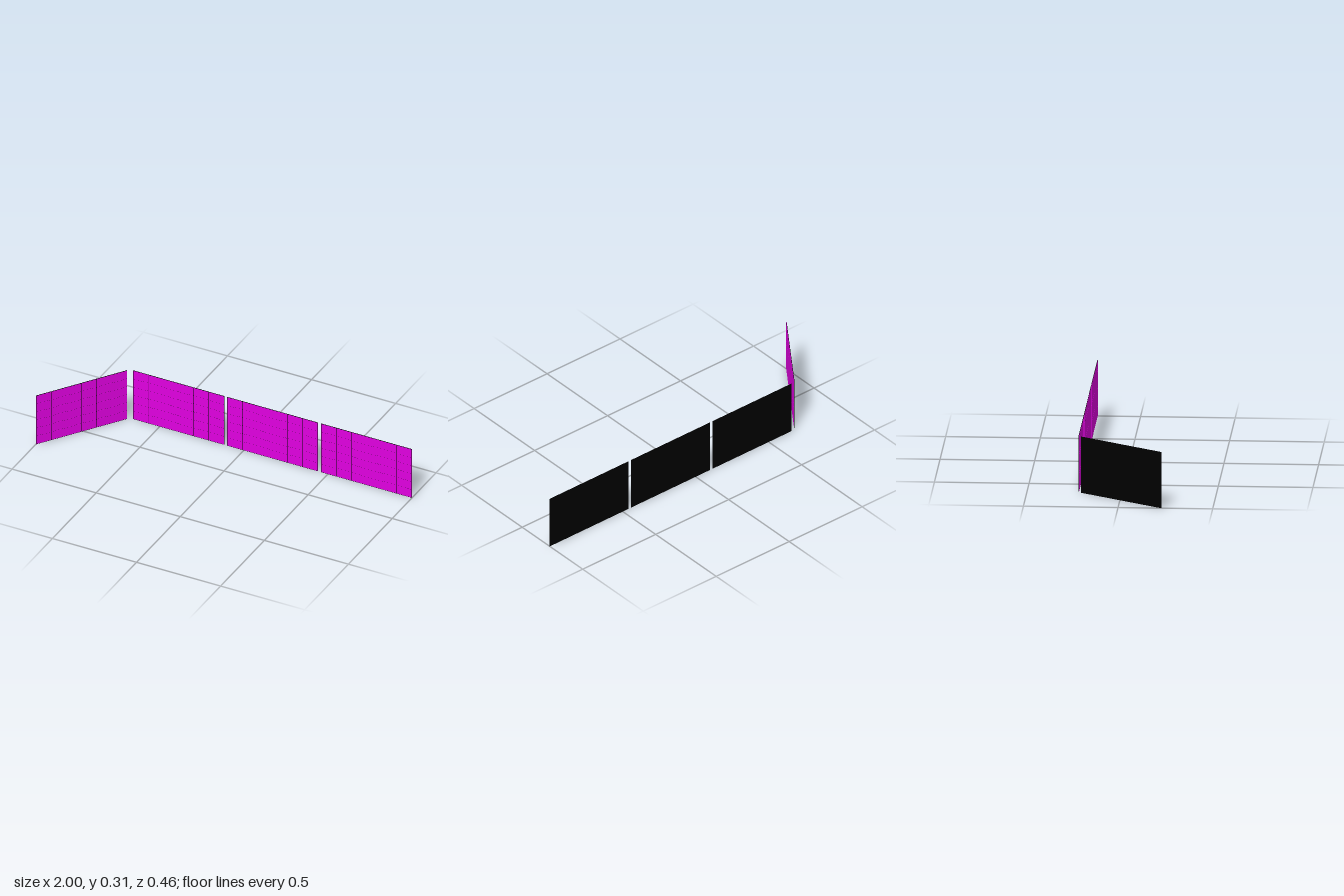
import * as THREE from 'three';
import { mergeGeometries } from 'three/addons/utils/BufferGeometryUtils.js';

const W = 0.541, H = 0.305, T = 0.002;   // panel size
const COLS = 6, ROWS = 6;
const RIM = 0.002, GAP_X = 0.0018, GAP_Y = 0.0008, RAISE = 0.0004;

// Grid of thin tiles sitting on the front of a panel
function tileGeometry() {
  const w = (W - 2 * RIM - (COLS - 1) * GAP_X) / COLS;
  const h = (H - 2 * RIM - (ROWS - 1) * GAP_Y) / ROWS;
  const tiles = [];
  for (let c = 0; c < COLS; c++) {
    for (let r = 0; r < ROWS; r++) {
      tiles.push(new THREE.BoxGeometry(w, h, RAISE).translate(
        (c - (COLS - 1) / 2) * (w + GAP_X),
        (r - (ROWS - 1) / 2) * (h + GAP_Y),
        (T + RAISE) / 2));
    }
  }
  return mergeGeometries(tiles);
}

export function createModel() {
  const model = new THREE.Group();
  model.name = 'panelScreen';
  const black = new THREE.MeshStandardMaterial({ color: 0x000000 });
  const magenta = new THREE.MeshStandardMaterial({ color: 0xe000e0 });
  const backGeometry = new THREE.BoxGeometry(W, H, T);
  const tiles = tileGeometry();

  function addPanel(name, x, z, angle = 0) {
    const panel = new THREE.Group();
    panel.name = name;
    const back = new THREE.Mesh(backGeometry, black);
    back.name = 'backing';
    const face = new THREE.Mesh(tiles, magenta);
    face.name = 'tiles';
    panel.add(back, face);
    panel.position.set(x, H / 2, z);
    panel.rotation.y = angle;
    model.add(panel);
  }

  // Three panels in a straight row
  for (let i = 0; i < 3; i++) addPanel('rowPanel' + (i + 1), 1 - W / 2 - i * 0.5585, -0.227);

  // Wing panel turned in towards the front
  addPanel('wingPanel', -0.8435, 0.007, Math.atan2(0.442, 0.313));
  return model;
}
